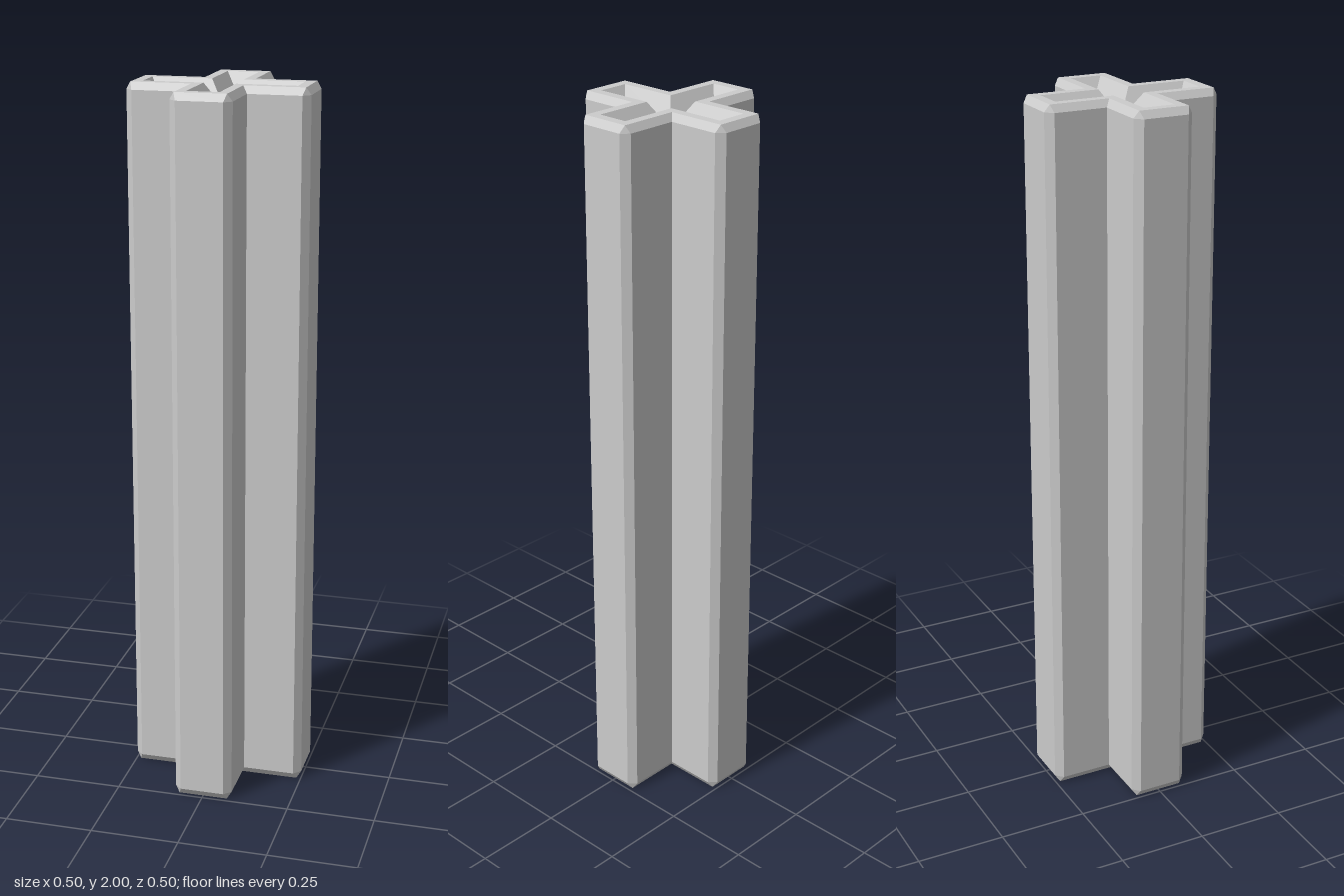
import * as THREE from 'three';

// Cross-shaped outline: w = half arm width, t = arm reach, c = corner chamfer
function crossRing(y, w, t, c) {
  const arm = [[w, w], [w, t - c], [w - c, t], [c - w, t], [-w, t - c]];
  const ring = [];
  for (let k = 0; k < 4; k++) {
    for (const p of arm) {
      let [x, z] = p;
      for (let r = 0; r < k; r++) [x, z] = [-z, x];
      ring.push(new THREE.Vector3(x, y, z));
    }
  }
  return ring;
}

// Joins successive rings with flat faces, skipping collapsed triangles
function loft(rings) {
  const positions = [];
  const tri = new THREE.Triangle();
  const add = (a, b, c) => {
    if (tri.set(a, b, c).getArea() < 1e-8) return;
    for (const p of [a, b, c]) positions.push(p.x, p.y, p.z);
  };
  for (let i = 0; i < rings.length - 1; i++) {
    const low = rings[i], high = rings[i + 1], n = low.length;
    for (let j = 0; j < n; j++) {
      const k = (j + 1) % n;
      add(low[j], high[j], high[k]);
      add(low[j], high[k], low[k]);
    }
  }
  const geometry = new THREE.BufferGeometry();
  geometry.setAttribute('position', new THREE.Float32BufferAttribute(positions, 3));
  geometry.computeVertexNormals();
  return geometry;
}

export function createModel() {
  const group = new THREE.Group();
  group.name = 'crossColumn';
  const material = new THREE.MeshStandardMaterial({ color: 0xcccccc, flatShading: true });

  // Bevelled shaft with a flat base
  const shaft = new THREE.Mesh(loft([
    crossRing(0, 0, 0.167, 0),
    crossRing(0, 0.07, 0.237, 0),
    crossRing(0.02, 0.083, 0.25, 0.02),
    crossRing(1.98, 0.083, 0.25, 0.02),
    crossRing(2, 0.07, 0.237, 0),
  ]), material);
  shaft.name = 'shaft';
  group.add(shaft);

  // Flat rim around the V-shaped cross groove in the top
  const groove = new THREE.Mesh(loft([
    crossRing(2, 0.07, 0.237, 0),
    crossRing(2, 0.044, 0.21, 0),
    crossRing(1.93, 0, 0.167, 0),
  ]), material);
  groove.name = 'topGroove';
  group.add(groove);

  return group;
}
